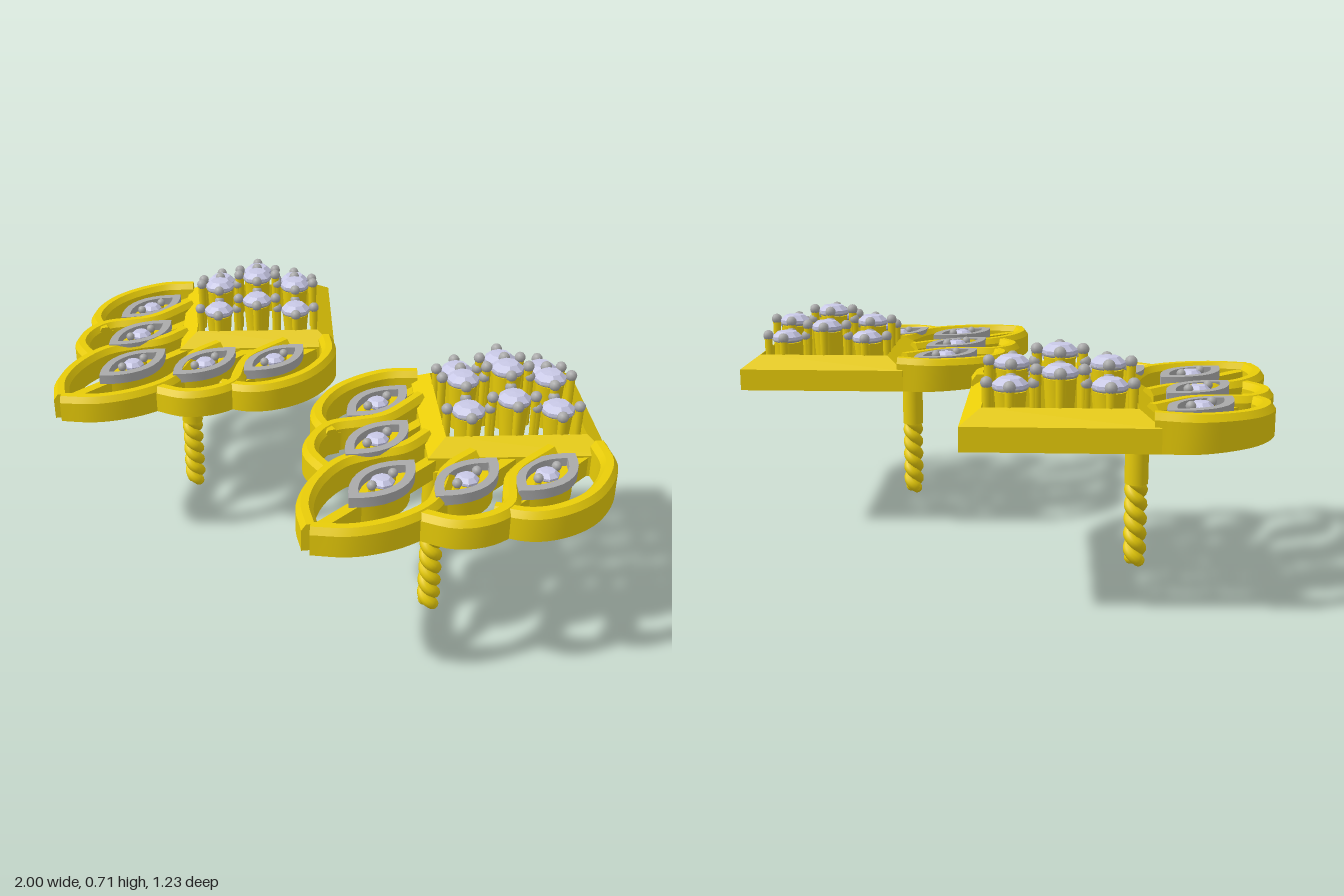
import * as THREE from 'three';
import { toCreasedNormals } from 'three/addons/utils/BufferGeometryUtils.js';

const gold = new THREE.MeshStandardMaterial({ color: 0xe8cc08 });
const goldFlat = new THREE.MeshStandardMaterial({ color: 0xe8cc08, flatShading: true });
const silver = new THREE.MeshStandardMaterial({ color: 0xaaaaaa });
const stone = new THREE.MeshStandardMaterial({ color: 0xc8c8e6, flatShading: true });
const BASE = 0.47;

function add(parent, name, geometry, material, x = 0, y = 0, z = 0) {
  const mesh = new THREE.Mesh(geometry, material);
  mesh.name = name;
  mesh.position.set(x, y, z);
  parent.add(mesh);
  return mesh;
}

const lathe = (pts, n) => new THREE.LatheGeometry(pts.map(p => new THREE.Vector2(...p)), n);

// Wall with a chamfered top that follows a plan curve; its height goes from top0 to top1
function wall(points, top0, top1, w = 0.024, steps = 28) {
  const curve = new THREE.CatmullRomCurve3(points.map(([x, z]) => new THREE.Vector3(x, 0, z)));
  const pos = [], index = [], n = 6;
  for (let i = 0; i <= steps; i++) {
    const p = curve.getPointAt(i / steps), t = curve.getTangentAt(i / steps);
    const h = top0 + (top1 - top0) * i / steps;
    const section = [[-w, BASE], [-w, h - 0.018], [-w * 0.45, h], [w * 0.45, h], [w, h - 0.018], [w, BASE]];
    for (const [s, y] of section) pos.push(p.x + s * t.z, y, p.z - s * t.x);
  }
  for (let i = 0; i < steps; i++) {
    for (let j = 0; j < n; j++) {
      const a = i * n + j, d = i * n + (j + 1) % n;
      index.push(a, a + n, d + n, a, d + n, d);
    }
  }
  const e = steps * n;
  for (let j = 1; j < n - 1; j++) index.push(0, j, j + 1, e, e + j + 1, e + j);
  const g = new THREE.BufferGeometry();
  g.setAttribute('position', new THREE.Float32BufferAttribute(pos, 3));
  g.setIndex(index);
  g.computeVertexNormals();
  return toCreasedNormals(g, 0.6);
}

// Pointed oval outline
function pointedOval(Type, w, l) {
  const s = new Type();
  s.moveTo(0, -l);
  s.bezierCurveTo(w * 1.33, -l * 0.4, w * 1.33, l * 0.4, 0, l);
  s.bezierCurveTo(-w * 1.33, l * 0.4, -w * 1.33, -l * 0.4, 0, -l);
  return s;
}

function slab(shape, depth) {
  const g = new THREE.ExtrudeGeometry(shape, { depth, bevelEnabled: false, curveSegments: 10 });
  return toCreasedNormals(g.rotateX(-Math.PI / 2), 0.6);
}

function gemGeometry(r) {
  return lathe([[0, -0.8 * r], [r, -0.1 * r], [r, 0.1 * r], [0.62 * r, 0.42 * r], [0, 0.46 * r]], 8);
}

// Round stone in an open cup with four beaded prongs
function roundSetting(x, z, top) {
  const g = new THREE.Group();
  g.name = 'roundSetting';
  g.position.set(x, 0, z);
  const low = 0.5, high = top - 0.035;
  const cup = lathe([[0.022, low], [0.034, low], [0.043, high], [0.034, high], [0.022, low]], 16);
  add(g, 'cup', toCreasedNormals(cup, 0.6), gold);
  add(g, 'collar', new THREE.TorusGeometry(0.042, 0.006, 6, 20).rotateX(Math.PI / 2), silver, 0, high + 0.008, 0);
  add(g, 'stone', gemGeometry(0.049), stone, 0, top - 0.021, 0);
  for (const px of [-0.044, 0.044]) {
    for (const pz of [-0.044, 0.044]) {
      const len = top - 0.02 - low;
      add(g, 'prong', new THREE.CylinderGeometry(0.013, 0.011, len, 8), gold, px, low + len / 2, pz);
      add(g, 'prongBead', new THREE.SphereGeometry(0.017, 10, 8), silver, px, top - 0.015, pz);
    }
  }
  return g;
}

// Pointed oval seat with a silver rim and a small stone held by two beads
function ovalSetting(x, z) {
  const g = new THREE.Group();
  g.name = 'ovalSetting';
  g.position.set(x, 0, z);
  const body = pointedOval(THREE.Shape, 0.058, 0.12);
  body.holes.push(new THREE.Path().absarc(0, 0, 0.012, 0, Math.PI * 2, true));
  add(g, 'seat', slab(body, 0.065), gold, 0, BASE, 0);
  const rim = pointedOval(THREE.Shape, 0.07, 0.136);
  rim.holes.push(pointedOval(THREE.Path, 0.046, 0.098));
  add(g, 'rim', slab(rim, 0.03), silver, 0, 0.53, 0);
  add(g, 'smallStone', gemGeometry(0.034), stone, 0, 0.55, 0);
  for (const s of [-1, 1]) {
    add(g, 'seatProng', new THREE.CylinderGeometry(0.009, 0.009, 0.03, 8), gold, 0, 0.545, s * 0.044);
    add(g, 'seatBead', new THREE.SphereGeometry(0.014, 10, 8), silver, 0, 0.558, s * 0.044);
  }
  return g;
}

function earring() {
  const g = new THREE.Group();
  g.name = 'earring';
  const cz = -0.257;

  // Square frame, turned on its corner, with a sloping top
  const frame = lathe([[0.363, BASE], [0.363, 0.536], [0.285, 0.575], [0.285, BASE], [0.363, BASE]], 4);
  add(g, 'squareFrame', frame, goldFlat, 0, 0, cz);

  // Three by three stones rising to the middle
  const pitch = 0.0915;
  for (let i = -1; i <= 1; i++) {
    for (let j = -1; j <= 1; j++) {
      const top = [0.708, 0.675, 0.64][Math.abs(i) + Math.abs(j)];
      g.add(roundSetting((i - j) * pitch, cz + (i + j) * pitch, top));
    }
  }

  // Scalloped border, mirrored left and right
  for (const s of [-1, 1]) {
    const side = pts => pts.map(([x, z]) => [s * x, z]);
    add(g, 'outerPetal', wall(side([[0.33, -0.25], [0.41, -0.175], [0.451, -0.03], [0.43, 0.08],
      [0.38, 0.15], [0.29, 0.19]]), 0.575, 0.552), gold);
    add(g, 'middlePetal', wall(side([[0.237, -0.15], [0.235, 0.02], [0.27, 0.085], [0.318, 0.16],
      [0.31, 0.24], [0.26, 0.31], [0.16, 0.345]]), 0.565, 0.55), gold);
    add(g, 'centrePetal', wall(side([[0.083, 0.01], [0.083, 0.12], [0.12, 0.19], [0.16, 0.29],
      [0.145, 0.41], [0.085, 0.52], [0, 0.588]]), 0.56, 0.55), gold);
  }

  // Oval settings, each on a thin stem from the frame to the border
  const ovals = [[0, 0.305, 0.08, 0.585], [0.16, 0.14, -0.07, 0.345], [0.305, -0.03, -0.22, 0.185]];
  for (const [x, z, z0, z1] of ovals) {
    for (const s of x ? [-1, 1] : [1]) {
      g.add(ovalSetting(s * x, z));
      add(g, 'stem', new THREE.BoxGeometry(0.032, 0.06, z1 - z0), gold, s * x, BASE + 0.03, (z0 + z1) / 2);
    }
  }

  // Post with a two-strand twisted lower end
  const postZ = 0.07;
  add(g, 'post', new THREE.CylinderGeometry(0.035, 0.035, 0.24, 20), gold, 0, 0.375, postZ);
  for (const k of [0, 1]) {
    const pts = [];
    for (let i = 0; i <= 40; i++) {
      const a = i / 40 * Math.PI * 5.4 + k * Math.PI;
      pts.push(new THREE.Vector3(0.016 * Math.cos(a), 0.019 + i / 40 * 0.245, 0.016 * Math.sin(a)));
    }
    const strand = new THREE.TubeGeometry(new THREE.CatmullRomCurve3(pts), 90, 0.019, 10);
    add(g, 'twistedStrand', strand, gold, 0, 0, postZ);
    add(g, 'strandEnd', new THREE.SphereGeometry(0.019, 10, 8), gold, pts[0].x, pts[0].y, postZ + pts[0].z);
  }
  return g;
}

export function createModel() {
  const model = new THREE.Group();
  model.name = 'earringPair';
  for (const s of [-1, 1]) {
    const e = earring();
    e.name = s < 0 ? 'rightEarring' : 'leftEarring';
    e.position.x = s * 0.525;
    model.add(e);
  }
  return model;
}
